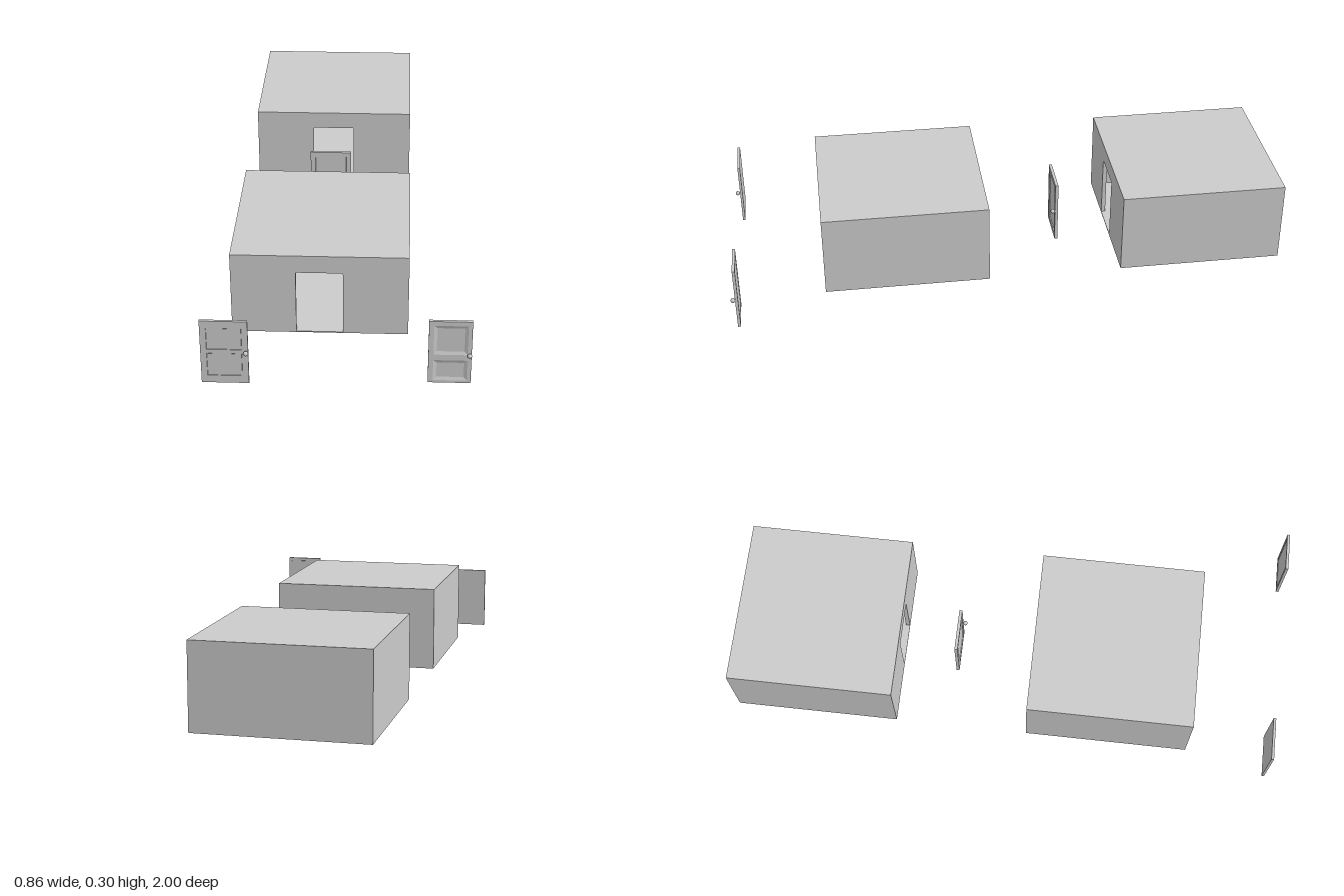
import * as THREE from 'three';

const grey = new THREE.MeshStandardMaterial({ color: 0xcccccc, flatShading: true });
const smooth = new THREE.MeshStandardMaterial({ color: 0xcccccc });

function add(parent, name, geometry, material = grey) {
  const mesh = new THREE.Mesh(geometry, material);
  mesh.name = name;
  parent.add(mesh);
  return mesh;
}

// Box given by its minimum and maximum corners
function box(parent, name, [x0, y0, z0], [x1, y1, z1]) {
  const mesh = add(parent, name, new THREE.BoxGeometry(x1 - x0, y1 - y0, z1 - z0));
  mesh.position.set((x0 + x1) / 2, (y0 + y1) / 2, (z0 + z1) / 2);
  return mesh;
}

function rectPath(PathType, x0, y0, x1, y1) {
  return new PathType([[x0, y0], [x1, y0], [x1, y1], [x0, y1]].map(p => new THREE.Vector2(...p)));
}

// Hollow room with a doorway in its front wall
function room(name, backZ) {
  const g = new THREE.Group();
  g.name = name;
  const L = -0.365, R = 0.23, H = 0.3, D = 0.595, T = 0.015;
  const a = -0.147, b = 0.01, top = 0.236, r = 0.006;
  box(g, 'floor', [L, 0, 0], [R, 0.004, D]);
  box(g, 'roof', [L, H - T, 0], [R, H, D]);
  box(g, 'backWall', [L + T, 0.004, 0], [R - T, H - T, T]);
  box(g, 'rightWall', [L, 0.004, 0], [L + T, H - T, D]);
  box(g, 'leftWall', [R - T, 0.004, 0], [R, H - T, D]);

  const s = new THREE.Shape();
  s.moveTo(L + T, 0.004);
  s.lineTo(a, 0.004);
  s.lineTo(a, top - r);
  s.quadraticCurveTo(a, top, a + r, top);
  s.lineTo(b - r, top);
  s.quadraticCurveTo(b, top, b, top - r);
  s.lineTo(b, 0.004);
  s.lineTo(R - T, 0.004);
  s.lineTo(R - T, H - T);
  s.lineTo(L + T, H - T);
  s.closePath();
  const front = add(g, 'frontWall', new THREE.ExtrudeGeometry(s, { depth: T, bevelEnabled: false, curveSegments: 4 }));
  front.position.z = D - T;
  g.position.z = backZ;
  return g;
}

// Sunken panel: sloped border from the outer rectangle down to a flat centre
function sunkenPanel([x0, y0, x1, y1], slope, zTop, zBottom) {
  const ring = (i, z) => [x0 + i, y0 + i, z, x1 - i, y0 + i, z, x1 - i, y1 - i, z, x0 + i, y1 - i, z];
  const index = [4, 5, 6, 4, 6, 7];
  for (let k = 0; k < 4; k++) {
    const n = (k + 1) % 4;
    index.push(k, n, 4 + n, k, 4 + n, 4 + k);
  }
  const geo = new THREE.BufferGeometry();
  geo.setAttribute('position', new THREE.Float32BufferAttribute([...ring(0, zTop), ...ring(slope, zBottom)], 3));
  geo.setIndex(index);
  const flat = geo.toNonIndexed();
  flat.computeVertexNormals();
  return flat;
}

// One moulded face of a door, from z = 0 up to z = t, looking along +z
function doorFace(name, w, h, t, panels, slope, depth) {
  const g = new THREE.Group();
  g.name = name;
  const s = rectPath(THREE.Shape, 0, 0, w, h);
  panels.forEach(p => s.holes.push(rectPath(THREE.Path, ...p)));
  add(g, 'doorFrame', new THREE.ExtrudeGeometry(s, { depth: t, bevelEnabled: false }));
  panels.forEach(p => add(g, 'doorPanel', sunkenPanel(p, slope, t, t - depth)));
  return g;
}

// Door leaf with a front face, an optional panelled back and a knob
function door(name, [x, y, z], w, h, t, o) {
  const g = new THREE.Group();
  g.name = name;
  g.add(doorFace('doorFront', w, h, t / 2, o.panels, o.slope, o.depth));
  const back = doorFace('doorBack', w, h, t / 2, o.backPanels ?? [], 0.001, 0.002);
  back.rotation.y = Math.PI;
  back.position.x = w;
  g.add(back);

  // Turned knob on a short stem
  const r = 0.008, reach = o.reach;
  const profile = [[0.004, 0], [0.004, reach - 2 * r + 0.002]];
  for (let i = 2; i <= 10; i++) {
    const q = -Math.PI / 2 + Math.PI * i / 10;
    profile.push([Math.max(0, r * Math.cos(q)), reach - r + r * Math.sin(q)]);
  }
  const knob = add(g, 'knob', new THREE.LatheGeometry(profile.map(p => new THREE.Vector2(...p)), 20), smooth);
  knob.rotation.x = Math.PI / 2;
  knob.position.set(w - 0.007, o.knobY, t / 2);
  g.position.set(x, y, z);
  return g;
}

export function createModel() {
  const model = new THREE.Group();
  model.name = 'roomsAndDoors';
  model.add(room('backRoom', -1), room('frontRoom', 0.08));

  // Shallow two-panel door
  model.add(door('rightDoor', [-0.433, 0, 0.968], 0.153, 0.235, 0.009, {
    panels: [[0.02, 0.028, 0.133, 0.113], [0.02, 0.128, 0.133, 0.208]],
    slope: 0.001, depth: 0.001, knobY: 0.12, reach: 0.017,
  }));

  // Door with two bevelled panels, raised off the ground
  model.add(door('leftDoor', [0.292, 0.027, 0.979], 0.138, 0.232, 0.01, {
    panels: [[0.016, 0.009, 0.125, 0.086], [0.016, 0.107, 0.125, 0.216]],
    backPanels: [[0.012, 0.012, 0.126, 0.22]],
    slope: 0.011, depth: 0.004, knobY: 0.109, reach: 0.016,
  }));

  // Door with one tall recessed panel, standing between the rooms
  model.add(door('middleDoor', [-0.147, 0, -0.201], 0.154, 0.235, 0.011, {
    panels: [[0.018, 0.018, 0.136, 0.217]],
    slope: 0.001, depth: 0.004, knobY: 0.12, reach: 0.016,
  }));
  return model;
}
